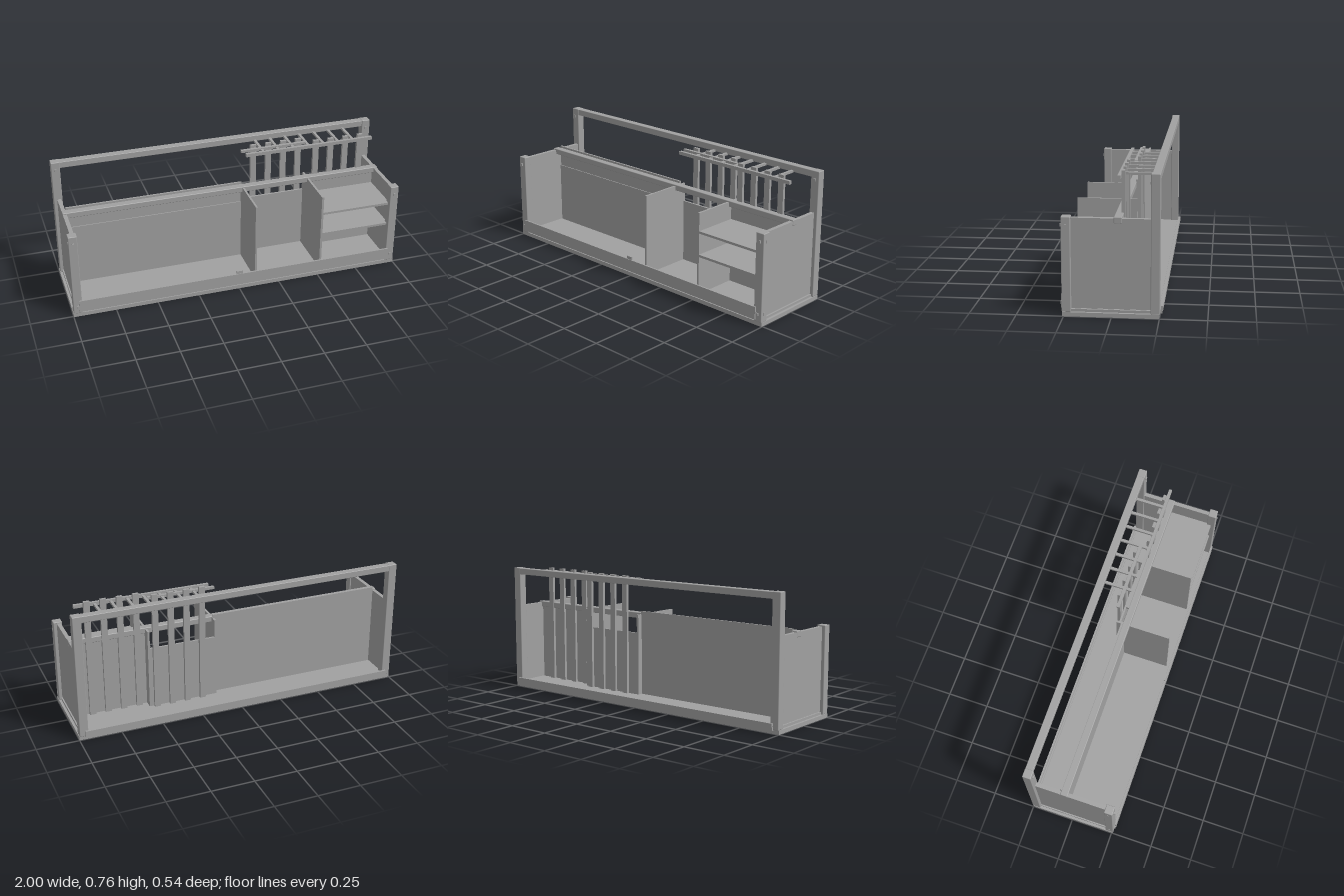
import * as THREE from 'three';
import { RoundedBoxGeometry } from 'three/addons/geometries/RoundedBoxGeometry.js';

const grey = new THREE.MeshStandardMaterial({ color: 0xa0a0a0 });
grey.name = 'grey';

export function createModel() {
  const model = new THREE.Group();
  model.name = 'counterUnit';

  // Box given by its extents on each axis; r rounds the edges of the tubes
  function box(name, [x0, x1], [y0, y1], [z0, z1], r = 0) {
    const size = [x1 - x0, y1 - y0, z1 - z0];
    const geometry = r ? new RoundedBoxGeometry(...size, 2, r) : new THREE.BoxGeometry(...size);
    const mesh = new THREE.Mesh(geometry, grey);
    mesh.name = name;
    mesh.position.set((x0 + x1) / 2, (y0 + y1) / 2, (z0 + z1) / 2);
    model.add(mesh);
    return mesh;
  }
  // Same box on both ends
  function pair(name, [x0, x1], y, z, r) {
    box(name + 'Left', [x0, x1], y, z, r);
    box(name + 'Right', [-x1, -x0], y, z, r);
  }

  // Base and floor
  box('base', [-1, 1], [0, 0.023], [-0.248, 0.257]);
  box('floor', [-0.975, 0.975], [0.023, 0.038], [-0.245, 0.25]);

  // Corner posts, end panels and bolts
  pair('frontPost', [0.946, 0.998], [0.023, 0.533], [0.211, 0.26], 0.004);
  pair('backPost', [0.946, 0.998], [0.023, 0.765], [-0.253, -0.204], 0.004);
  pair('endPanel', [0.955, 0.978], [0.04, 0.525], [-0.204, 0.211]);
  pair('endSill', [0.95, 0.985], [0.023, 0.037], [-0.204, 0.211]);
  for (const y of [0.068, 0.484]) {
    pair('frontBolt', [0.966, 0.978], [y - 0.008, y + 0.008], [0.258, 0.267]);
    pair('frontSideBolt', [0.99, 1], [y - 0.008, y + 0.008], [0.23, 0.24]);
  }
  for (const y of [0.068, 0.715]) {
    pair('backBolt', [0.966, 0.978], [y - 0.008, y + 0.008], [-0.206, -0.197]);
  }

  // Long rails
  box('backTopRail', [-0.95, 0.95], [0.725, 0.763], [-0.252, -0.208], 0.003);
  box('middleRail', [-0.98, 0.98], [0.498, 0.533], [-0.055, -0.012], 0.004);

  // Front skirt with its small latch, and the strip along the back edge
  box('frontSkirt', [-0.965, 0.96], [0.035, 0.108], [0.258, 0.268]);
  box('latch', [-0.018, 0.018], [0.1, 0.126], [0.256, 0.264]);
  box('backStripLower', [-0.965, 0.965], [0.02, 0.04], [-0.263, -0.246]);
  box('backStripUpper', [-0.965, 0.965], [0.038, 0.06], [-0.268, -0.256]);

  // Back panels of the three bays
  box('leftBackPanel', [-0.955, 0.11], [0.038, 0.545], [-0.063, -0.052]);
  box('leftLowerPanel', [-0.955, 0.105], [0.038, 0.415], [-0.053, -0.046]);
  box('middleBackPanel', [0.105, 0.525], [0.038, 0.415], [-0.095, -0.083]);
  box('rightBackPanel', [0.52, 0.955], [0.038, 0.5], [-0.045, -0.034]);

  // Dividers and shelves
  box('leftDivider', [0.104, 0.116], [0.038, 0.525], [-0.095, 0.235]);
  box('rightDivider', [0.515, 0.528], [0.038, 0.525], [-0.095, 0.238]);
  for (const y of [0.272, 0.412]) {
    box('shelf', [0.527, 0.956], [y - 0.007, y + 0.007], [-0.04, 0.238]);
  }

  // Trellis: eight slats in two rows, each with a crossbar to the back rail
  for (let i = 0; i < 8; i++) {
    const x = 0.197 + i * 0.0952;
    const z = i < 4 ? [-0.113, -0.096] : [-0.061, -0.044];
    box('slat', [x - 0.018, x + 0.018], [0.038, 0.757], z);
    if (i < 7) box('crossbar', [x + 0.038, x + 0.054], [0.722, 0.735], [-0.21, -0.04]);
  }
  box('trellisFrontBar', [0.13, 0.935], [0.72, 0.74], [-0.044, -0.026]);
  box('trellisRearBar', [0.115, 0.52], [0.725, 0.74], [-0.096, -0.078]);

  return model;
}
